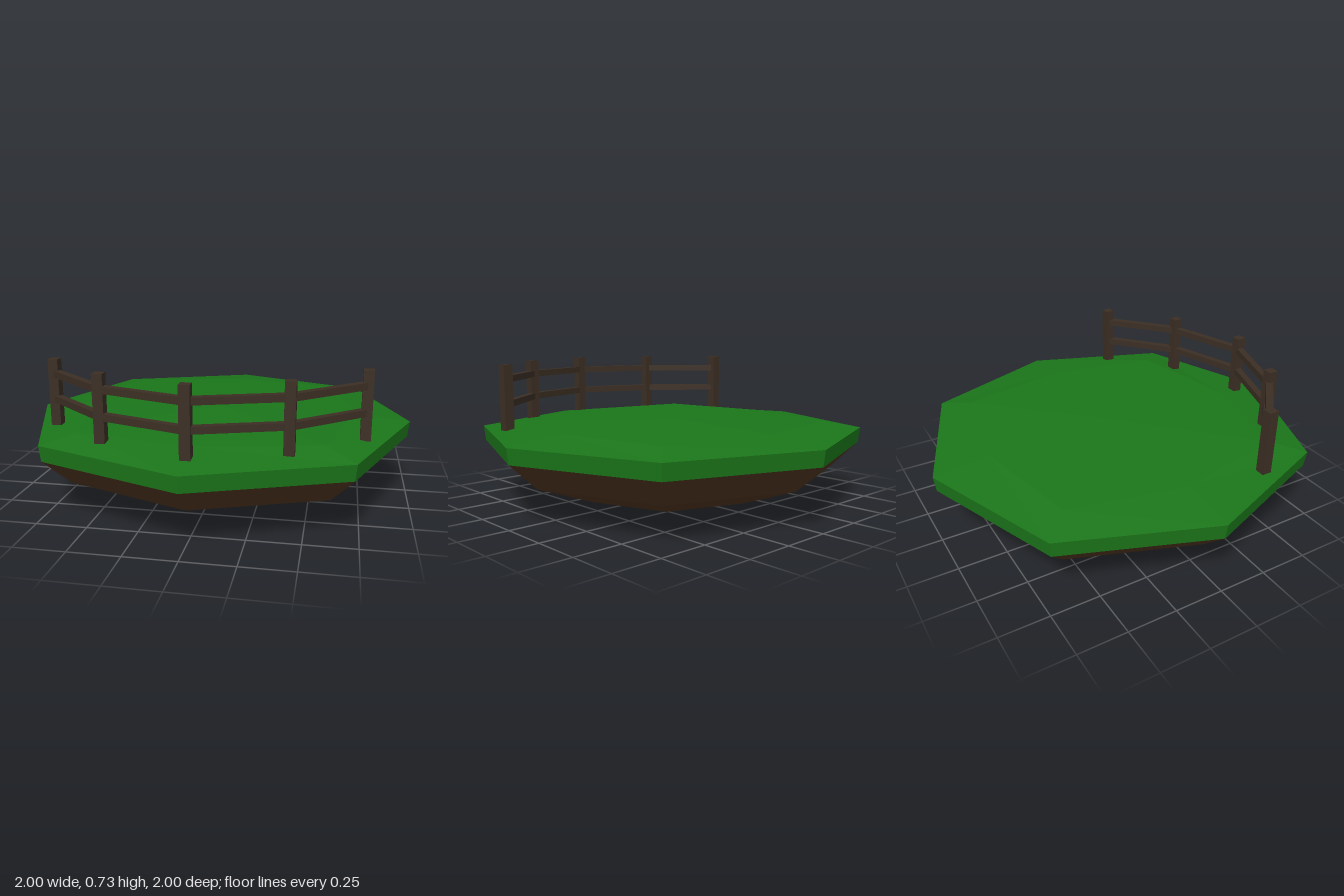
import * as THREE from 'three';

const grassMat = new THREE.MeshStandardMaterial({ color: 0x1b761a, flatShading: true });
const dirtMat = new THREE.MeshStandardMaterial({ color: 0x50351f, flatShading: true });
const woodMat = new THREE.MeshStandardMaterial({ color: 0x3c2f24, flatShading: true });

// Eight-sided solid from [radius, height, corner stretch] rings, bottom to top
function octagonal(rings, material, name) {
  const geo = new THREE.LatheGeometry(rings.map(([r, y]) => new THREE.Vector2(r, y)), 8);
  const pos = geo.attributes.position;
  for (let i = 0; i < pos.count; i++) {
    const x = pos.getX(i), z = pos.getZ(i);
    // Push the diagonal corners outwards
    if (Math.abs(x) > 0.01 && Math.abs(Math.abs(x) - Math.abs(z)) < 0.01) {
      const k = rings[i % rings.length][2];
      pos.setX(i, x * k);
      pos.setZ(i, z * k);
    }
  }
  geo.computeVertexNormals();
  const mesh = new THREE.Mesh(geo, material);
  mesh.name = name;
  return mesh;
}

function box(w, h, d, name) {
  const mesh = new THREE.Mesh(new THREE.BoxGeometry(w, h, d), woodMat);
  mesh.name = name;
  return mesh;
}

export function createModel() {
  const model = new THREE.Group();
  model.name = 'floatingIsland';

  // Ground: faceted earth bowl with a slightly domed grass slab
  model.add(octagonal(
    [[0, 0, 1], [0.53, 0.05, 1.03], [0.845, 0.165, 1.03], [0.99, 0.3, 1.025]], dirtMat, 'earth'));
  model.add(octagonal(
    [[0.99, 0.3, 1.025], [1, 0.38, 1.025], [0.71, 0.414, 1.17], [0, 0.425, 1]], grassMat, 'grass'));

  // Fence: five posts along the front edge, two rails per span
  const fence = new THREE.Group();
  fence.name = 'fence';
  const posts = [[-0.762, 0.4], [-0.43, 0.688], [0, 0.83], [0.43, 0.688], [0.762, 0.4]];
  posts.forEach(([x, z], i) => {
    const post = box(0.05, 0.335, 0.05, 'post');
    post.position.set(x, 0.56, z);
    fence.add(post);
    if (i === 0) return;
    const [px, pz] = posts[i - 1];
    for (const y of [0.527, 0.654]) {
      const rail = box(Math.hypot(x - px, z - pz), 0.034, 0.036, 'rail');
      rail.position.set((x + px) / 2, y, (z + pz) / 2);
      rail.rotation.y = -Math.atan2(z - pz, x - px);
      fence.add(rail);
    }
  });
  model.add(fence);
  return model;
}
